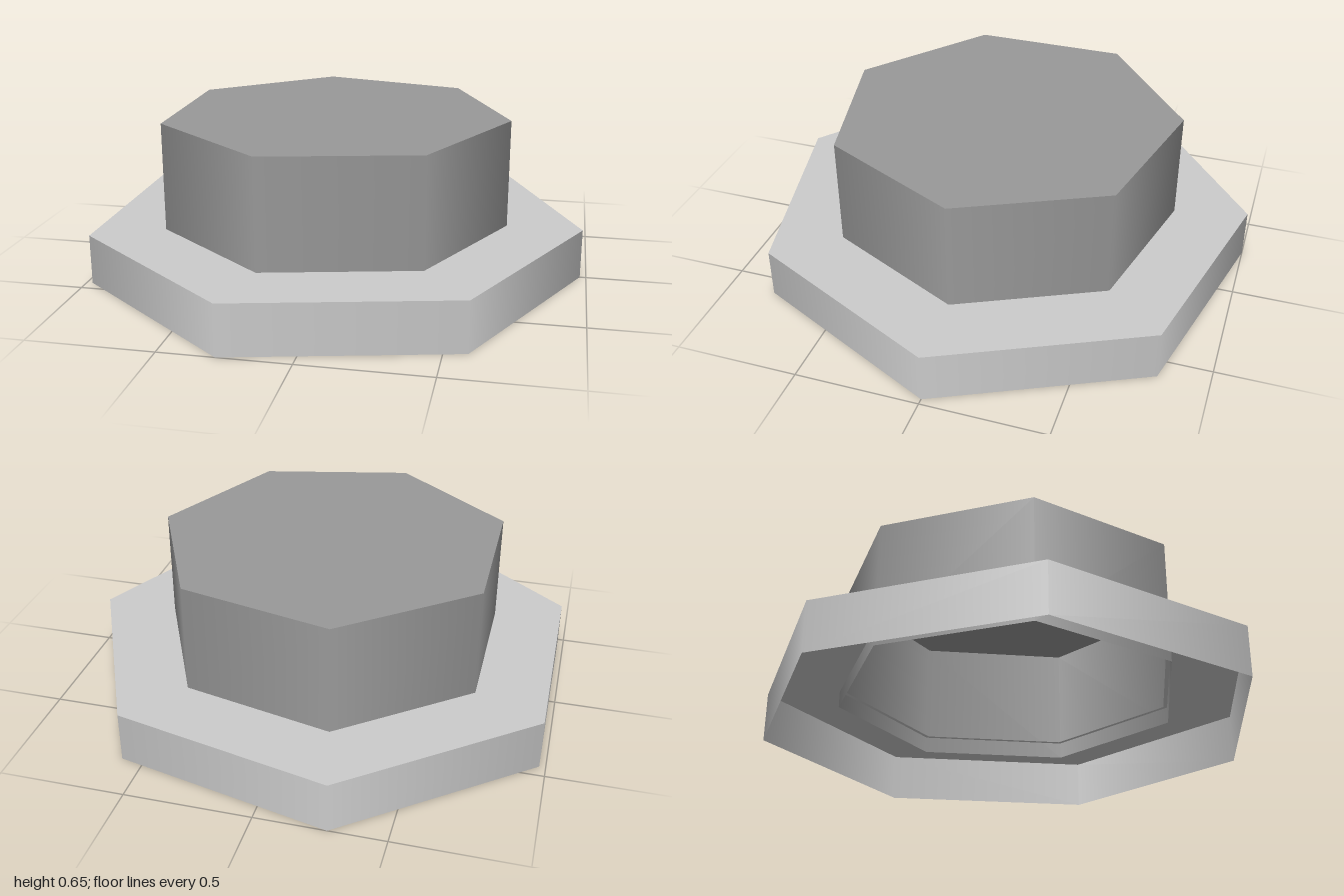
import * as THREE from 'three';

const SIDES = 7;
const CENTRE_X = -0.051;

export function createModel() {
  const model = new THREE.Group();
  const brimMaterial = new THREE.MeshStandardMaterial({ color: 0xcccccc, side: THREE.DoubleSide });
  const crownMaterial = new THREE.MeshStandardMaterial({ color: 0x999999, side: THREE.DoubleSide });

  const add = (name, geometry, material, y) => {
    const mesh = new THREE.Mesh(geometry, material);
    mesh.name = name;
    mesh.position.set(CENTRE_X, y, 0);
    model.add(mesh);
  };

  // Open seven-sided wall with one corner pointing along +x
  const wall = (name, radius, bottom, top, material) => add(
    name,
    new THREE.CylinderGeometry(radius, radius, top - bottom, SIDES, 1, true, Math.PI / 2),
    material,
    (bottom + top) / 2
  );

  // Brim: thin outer wall and a flat ring on top, open underneath
  wall('brimWall', 1.026, 0, 0.205, brimMaterial);
  add('brimTop', new THREE.RingGeometry(0.7, 1.026, SIDES).rotateX(-Math.PI / 2), brimMaterial, 0.205);

  // Crown: hollow, closed on top, reaching a little below the brim top
  wall('crownWall', 0.718, 0.135, 0.65, crownMaterial);
  add('crownTop', new THREE.CircleGeometry(0.718, SIDES).rotateX(-Math.PI / 2), crownMaterial, 0.65);

  return model;
}
